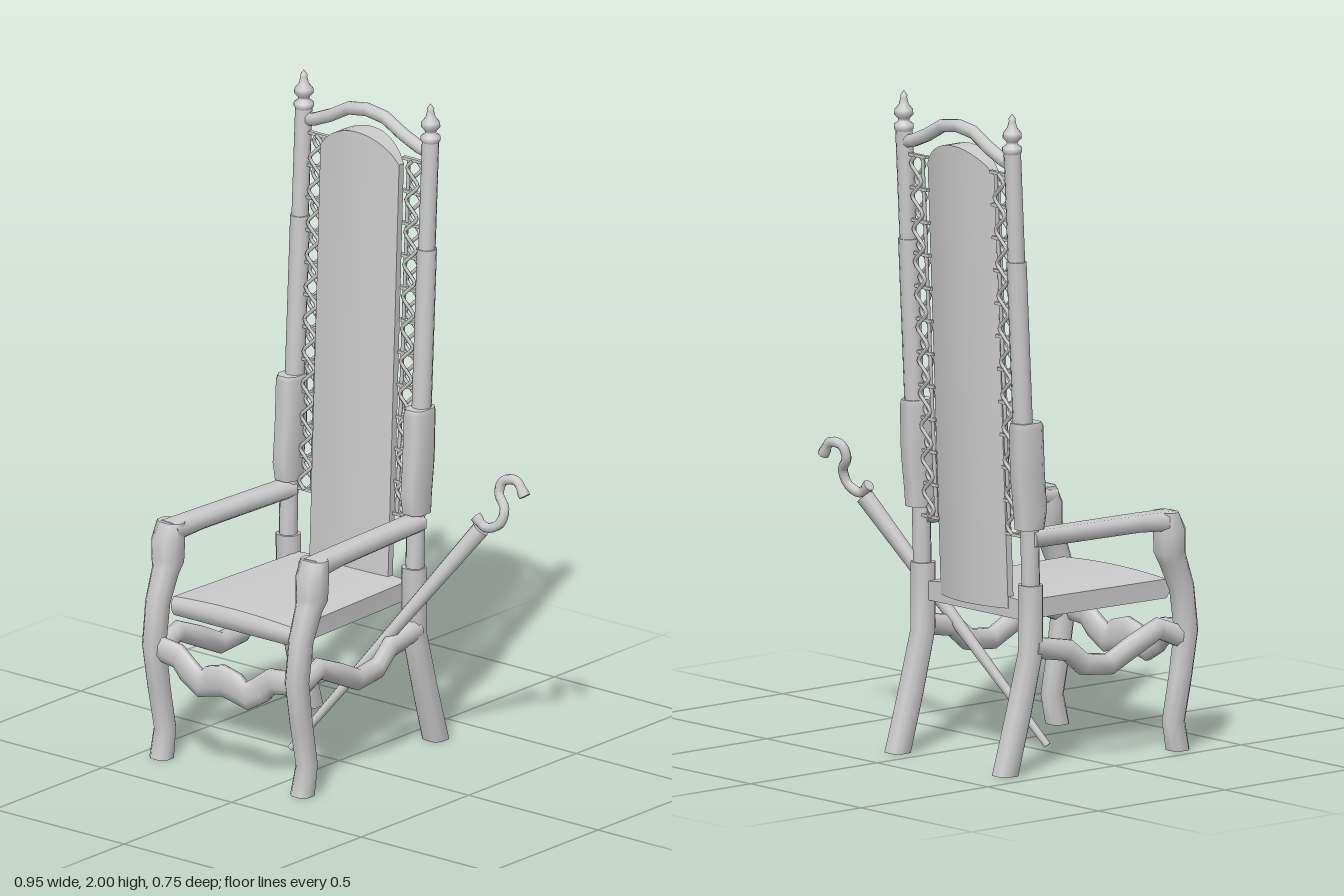
import * as THREE from 'three';

const CX = -0.155; // centre line of the chair
const mat = new THREE.MeshStandardMaterial({ color: 0xcccccc });
const matThin = new THREE.MeshStandardMaterial({ color: 0xcccccc, side: THREE.DoubleSide });

function add(parent, name, geometry, material = mat) {
  const mesh = new THREE.Mesh(geometry, material);
  mesh.name = name;
  parent.add(mesh);
  return mesh;
}

// Sweep rounded cross-sections along a path of [x, y, z, halfWidth, halfDepth];
// halfWidth runs along the side axis, halfDepth across it.
function sweep(path, side = new THREE.Vector3(1, 0, 0), sides = 8, square = 1) {
  const pts = path.map(p => new THREE.Vector3(p[0], p[1], p[2]));
  const pos = [], idx = [], rings = [];
  const shape = c => Math.sign(c) * Math.pow(Math.abs(c), square);
  pts.forEach((p, i) => {
    const t = pts[Math.min(i + 1, pts.length - 1)].clone().sub(pts[Math.max(i - 1, 0)]).normalize();
    // keep the ends of upright pieces level
    if (Math.abs(t.y) > 0.85 && (i === 0 || i === pts.length - 1)) t.set(0, Math.sign(t.y), 0);
    const u = side.clone().addScaledVector(t, -side.dot(t)).normalize();
    const v = t.clone().cross(u);
    const ring = [];
    for (let j = 0; j < sides; j++) {
      const a = (j + 0.5) / sides * Math.PI * 2;
      const k = 1 / Math.cos(Math.PI / sides);
      ring.push(p.clone()
        .addScaledVector(u, shape(Math.cos(a) * k) * path[i][3])
        .addScaledVector(v, shape(Math.sin(a) * k) * path[i][4]));
    }
    rings.push(ring);
    ring.forEach(q => pos.push(q.x, q.y, q.z));
  });
  for (let i = 0; i < pts.length - 1; i++) {
    for (let j = 0; j < sides; j++) {
      const a = i * sides + j, b = i * sides + (j + 1) % sides;
      idx.push(a, b, b + sides, a, b + sides, a + sides);
    }
  }
  // end caps with their own corners so the rims stay sharp
  [rings[0], rings[rings.length - 1]].forEach((ring, end) => {
    const base = pos.length / 3;
    ring.forEach(q => pos.push(q.x, q.y, q.z));
    for (let j = 1; j < sides - 1; j++) {
      if (end) idx.push(base, base + j, base + j + 1);
      else idx.push(base, base + j + 1, base + j);
    }
  });
  const g = new THREE.BufferGeometry();
  g.setAttribute('position', new THREE.Float32BufferAttribute(pos, 3));
  g.setIndex(idx);
  g.computeVertexNormals();
  return g;
}

// Move every vertex of a geometry by a rule
function deform(g, rule) {
  const p = g.attributes.position, v = new THREE.Vector3();
  for (let i = 0; i < p.count; i++) {
    rule(v.fromBufferAttribute(p, i));
    p.setXYZ(i, v.x, v.y, v.z);
  }
  g.computeVertexNormals();
  return g;
}

const curve = pts => new THREE.CatmullRomCurve3(pts.map(p => new THREE.Vector3(...p)));
const leanZ = y => -0.262 - (y - 0.8) * 0.05; // backward lean of the posts

function buildSide(s) {
  const side = new THREE.Group();
  side.name = s > 0 ? 'leftSide' : 'rightSide';
  const X = off => CX + s * off;

  // front leg, curving up into the arm
  add(side, 'frontLeg', sweep([
    [X(0.272), 0, 0.312, 0.034, 0.032], [X(0.274), 0.09, 0.294, 0.029, 0.033],
    [X(0.275), 0.22, 0.32, 0.031, 0.033], [X(0.276), 0.36, 0.342, 0.033, 0.034],
    [X(0.277), 0.49, 0.324, 0.034, 0.035], [X(0.277), 0.58, 0.288, 0.037, 0.039],
    [X(0.278), 0.61, 0.276, 0.045, 0.044], [X(0.278), 0.67, 0.274, 0.047, 0.044],
    [X(0.277), 0.728, 0.262, 0.042, 0.03],
  ], undefined, 8, 0.8));

  // arm rest
  add(side, 'armRest', sweep([
    [X(0.276), 0.7, 0.28, 0.043, 0.03], [X(0.268), 0.705, 0.15, 0.04, 0.026],
    [X(0.258), 0.705, -0.05, 0.037, 0.026], [X(0.248), 0.705, -0.25, 0.035, 0.026],
  ], undefined, 8, 0.7));

  // back leg, splayed to the rear
  add(side, 'backLeg', sweep([
    [X(0.243), 0, -0.342, 0.037, 0.035], [X(0.243), 0.18, -0.29, 0.035, 0.034],
    [X(0.243), 0.36, -0.243, 0.034, 0.033], [X(0.243), 0.565, -0.242, 0.034, 0.033],
  ], undefined, 8, 0.7));
  add(side, 'backLegNeck', sweep([
    [X(0.245), 0.55, -0.243, 0.027, 0.027], [X(0.245), 0.8, -0.25, 0.027, 0.027],
  ]));

  // thick sleeve round the foot of the post
  add(side, 'postSleeve', sweep([
    [X(0.247), 0.735, -0.25, 0.036, 0.042], [X(0.247), 0.79, -0.247, 0.037, 0.049],
    [X(0.247), 0.9, -0.258, 0.037, 0.051], [X(0.247), 1.045, -0.263, 0.037, 0.05],
    [X(0.247), 1.06, -0.265, 0.034, 0.045],
  ], undefined, 8, 0.7));

  // back post in two thicknesses
  [[0.9, 1.55, 0.029], [1.55, 1.89, 0.025]].forEach(([a, b, r]) =>
    add(side, 'backPost', sweep([
      [X(0.245), a, leanZ(a), r, r], [X(0.245), b, leanZ(b), r, r],
    ], undefined, 12)));

  // turned finial
  const profile = [[0.025, 0], [0.03, 0.008], [0.03, 0.02], [0.016, 0.03], [0.018, 0.038], [0.029, 0.05],
    [0.028, 0.064], [0.015, 0.08], [0.01, 0.1], [0.011, 0.107], [0, 0.122]].map(p => new THREE.Vector2(...p));
  add(side, 'finial', new THREE.LatheGeometry(profile, 14), matThin).position.set(X(0.245), 1.878, leanZ(1.89));

  // wavy side stretcher
  const wave = [[0.33, 0.338], [0.235, 0.376], [0.14, 0.335], [0.05, 0.292], [-0.05, 0.302], [-0.11, 0.352], [-0.24, 0.376]];
  add(side, 'sideStretcher', sweep(wave.map(([z, y]) =>
    [X(0.255 + (z + 0.24) * 0.035), y, z, 0.025, 0.032])));

  // openwork strip between post and back panel
  const strip = new THREE.Group();
  strip.name = 'openworkStrip';
  side.add(strip);
  const y0 = 0.71, y1 = 1.81, loops = 11;
  [1, -1].forEach(m => {
    const pts = [];
    for (let i = 0; i <= loops * 4; i++) {
      const y = y0 + (y1 - y0) * i / (loops * 4);
      pts.push([X(0.187 + m * 0.022 * Math.sin(i * Math.PI / 2)), y, leanZ(y) + m * 0.008]);
    }
    add(strip, 'wavyWire', new THREE.TubeGeometry(curve(pts), loops * 12, 0.006, 5));
  });
  add(strip, 'straightWire', new THREE.TubeGeometry(
    curve([[X(0.165), y0, leanZ(y0)], [X(0.165), y1, leanZ(y1)]]), 2, 0.006, 5));
  for (let i = 0; i <= loops; i++) {
    const y = y0 + (y1 - y0) * i / loops;
    add(strip, 'crossLink', new THREE.BoxGeometry(0.085, 0.009, 0.014)).position.set(X(0.187), y, leanZ(y));
  }
  return side;
}

// Walking stick leaning through the side of the chair
function buildStick() {
  const stick = new THREE.Group();
  stick.name = 'walkingStick';
  add(stick, 'stickShaft', sweep([
    [-0.165, 0.01, 0.028, 0.01, 0.01], [0.085, 0.375, -0.12, 0.018, 0.018], [0.328, 0.73, -0.264, 0.026, 0.026],
  ], undefined, 10));
  const hook = curve([[0.31, 0.765, -0.262], [0.345, 0.738, -0.265], [0.393, 0.757, -0.272], [0.402, 0.803, -0.285],
    [0.37, 0.842, -0.298], [0.378, 0.88, -0.308], [0.422, 0.887, -0.316], [0.455, 0.845, -0.315]]);
  const path = hook.getPoints(28).map((p, i) => {
    const r = i < 2 || i > 26 ? 0.017 : 0.014;
    return [p.x, p.y, p.z, r, r];
  });
  add(stick, 'curledHandle', sweep(path, new THREE.Vector3(0, 0, 1)));
  return stick;
}

export function createModel() {
  const model = new THREE.Group();
  model.name = 'tallArmchair';
  [1, -1].forEach(s => model.add(buildSide(s)));

  // seat: tapers to the back, rounded at its front edge, slightly domed
  add(model, 'seat', deform(new THREE.BoxGeometry(2, 2, 1, 10, 4, 10), v => {
    const u = v.x, h = v.y, w = v.z + 0.5;
    const round = Math.sqrt(1 - 0.75 * h * h);
    v.x = CX + u * (0.212 + 0.02 * w);
    v.y = 0.484 + h * (0.027 + (h > 0 ? 0.01 * (1 - u * u) : 0.004));
    v.z = -0.25 + w * (0.54 + 0.027 * round);
  }));

  // tall upholstered back: lens-shaped section, leaning, arched top
  add(model, 'backPanel', deform(new THREE.BoxGeometry(2, 1, 1, 12, 8, 1), v => {
    const u = v.x, k = v.y + 0.5, dome = 1 - u * u;
    const y = 0.48 + k * (1.315 + 0.075 * Math.pow(dome, 0.8));
    const z = -0.23 - (y - 0.5) * 0.04;
    v.z = v.z > 0 ? z + 0.018 * dome : z - 0.022 - 0.032 * dome;
    v.x = CX + u * 0.152;
    v.y = y;
  }));

  // arched crest rail
  const half = [[0.245, 1.845], [0.2, 1.855], [0.14, 1.88], [0.07, 1.918]];
  const arch = [...half.map(([x, y]) => [-x, y]), [0, 1.928], ...half.slice().reverse()];
  add(model, 'crestRail', sweep(arch.map(([x, y]) =>
    [CX + x, y, -0.316, 0.018, 0.019]), new THREE.Vector3(0, 0, 1)));

  // shaped front stretcher
  const front = [[0.27, 0.355, 0.036], [0.18, 0.345, 0.038], [0.14, 0.31, 0.04], [0.09, 0.28, 0.042], [0.05, 0.297, 0.046]];
  const rail = [...front.map(([x, y, r]) => [-x, y, r]), [0, 0.31, 0.048], ...front.slice().reverse()];
  add(model, 'frontStretcher', sweep(rail.map(([x, y, r]) =>
    [CX + x, y, 0.352 - 0.04 * Math.abs(x), 0.02, r]), new THREE.Vector3(0, 0, 1)));

  model.add(buildStick());
  return model;
}
